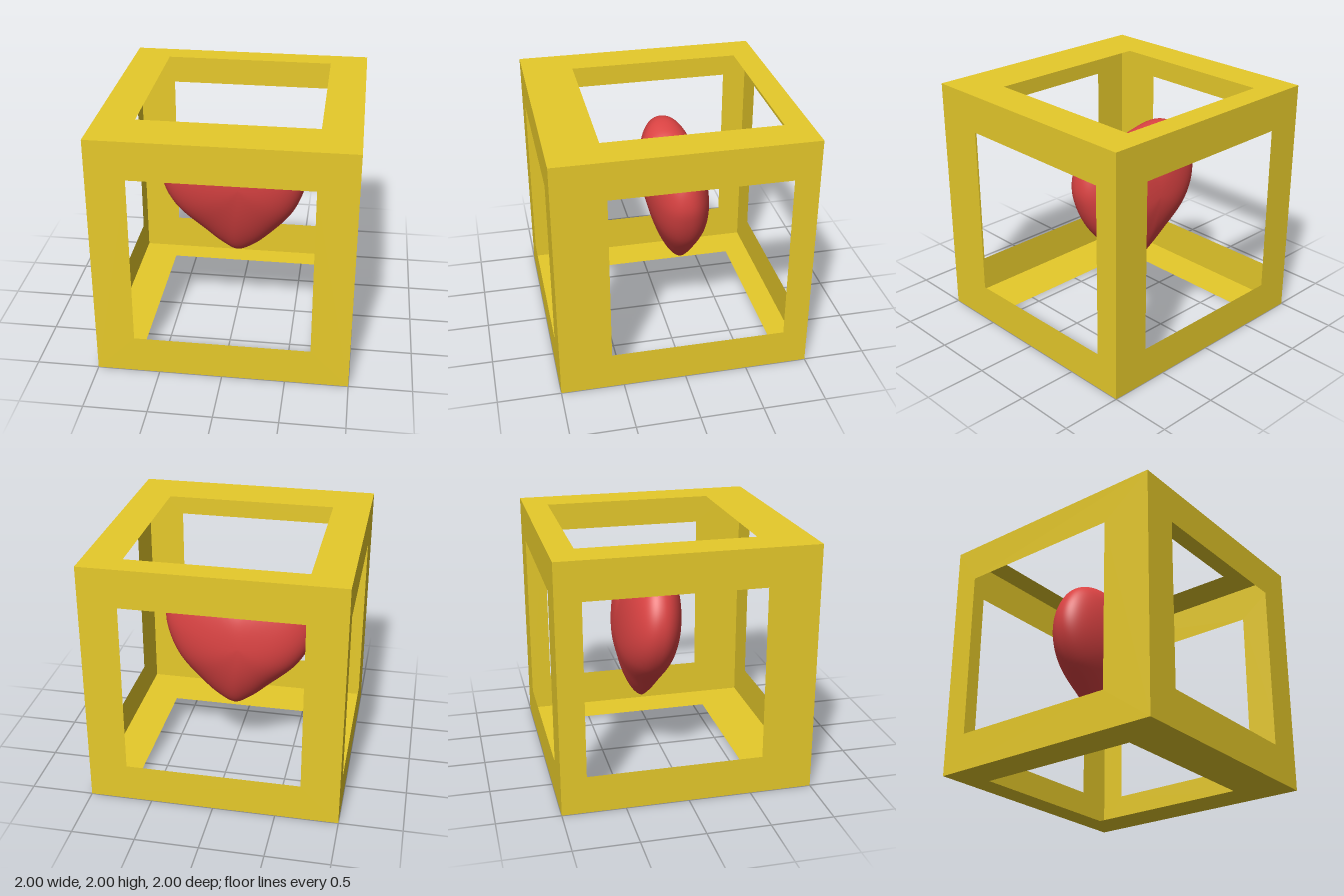
import * as THREE from 'three';
import { mergeVertices } from 'three/addons/utils/BufferGeometryUtils.js';

// Edges of the window openings along each axis
const X = [-0.695, 0.695], Y = [0.305, 1.695], Z = [-0.8, 0.59];

// Heart outline, counter-clockwise from the cleft
const OUTLINE = [
  [-0.06, 1.533], [-0.1, 1.55], [-0.18, 1.596], [-0.34, 1.64], [-0.44, 1.62], [-0.54, 1.555],
  [-0.63, 1.41], [-0.66, 1.25], [-0.63, 1.09], [-0.53, 0.915], [-0.31, 0.705], [-0.15, 0.567],
  [-0.02, 0.5], [0.125, 0.567], [0.29, 0.72], [0.45, 0.915], [0.54, 1.12], [0.565, 1.28],
  [0.51, 1.48], [0.4, 1.602], [0.32, 1.645], [0.24, 1.66], [0.1, 1.622], [0.03, 1.575], [-0.02, 1.543],
];

function rect(path, [u0, u1], [v0, v1]) {
  path.moveTo(u0, v0);
  path.lineTo(u1, v0);
  path.lineTo(u1, v1);
  path.lineTo(u0, v1);
  path.closePath();
  return path;
}

// Paper-thin square sheet with a window; u and v are the window's edges
function sheet(u, v) {
  const shape = rect(new THREE.Shape(), [-1, 1], [-1, 1]);
  shape.holes.push(rect(new THREE.Path(), u, v));
  return new THREE.ShapeGeometry(shape);
}

// Puffed heart: the outline shrinks and rounds off towards the front and back crowns
function heartGeometry() {
  const rows = 64, cols = 144, depth = 0.263;
  const curve = new THREE.CatmullRomCurve3(
    OUTLINE.map(([x, y]) => new THREE.Vector3(x, y, 0)), true, 'centripetal');
  const rim = curve.getSpacedPoints(cols);
  const positions = [], indices = [];
  for (let i = 0; i <= rows; i++) {
    const t = (i / rows) * Math.PI;
    const c = Math.cos(t), s = i === 0 || i === rows ? 0 : Math.sin(t);
    const cx = -0.03 + 0.05 * c, cy = 1.17 + 0.05 * c;
    for (let j = 0; j < cols; j++) {
      const dx = rim[j].x + 0.03, dy = rim[j].y - 1.17;
      const length = Math.hypot(dx, dy), up = dy / length;
      // Fuller at the sides, leaner towards the tip
      const power = 2.3 - (up < 0 ? 0.68 : 0.3) * up * up;
      const r = Math.pow(s, 2 / power);
      // Oval near the crown, true outline at the rim
      const oval = 0.58 / length;
      const x = cx + r * THREE.MathUtils.lerp(dx * oval, rim[j].x - cx, r);
      const y = cy + r * THREE.MathUtils.lerp(dy * oval, rim[j].y - cy, r);
      const bulge = Math.sign(c) * Math.pow(Math.abs(c), 2 / power) * depth;
      positions.push(x, y, -0.128 + 0.056 * (y - 1.17) + 0.016 * x + bulge);
      if (i < rows) {
        const k = (j + 1) % cols;
        const a = i * cols + j, b = a + cols, d = i * cols + k, e = d + cols;
        indices.push(a, b, e, a, e, d);
      }
    }
  }
  const geo = new THREE.BufferGeometry();
  geo.setAttribute('position', new THREE.Float32BufferAttribute(positions, 3));
  geo.setIndex(indices);
  const merged = mergeVertices(geo, 1e-5);
  merged.computeVertexNormals();
  return merged;
}

export function createModel() {
  const model = new THREE.Group();
  model.name = 'heartInCubeFrame';
  const gold = new THREE.MeshStandardMaterial({ color: 0xe6c92a, side: THREE.DoubleSide });
  const red = new THREE.MeshStandardMaterial({ color: 0xd94242 });

  const add = (parent, name, geo, material) => {
    const mesh = new THREE.Mesh(geo, material);
    mesh.name = name;
    parent.add(mesh);
  };

  // Hollow cube shell of six windowed sheets
  const frame = new THREE.Group();
  frame.name = 'cubeFrame';
  model.add(frame);
  const flip = ([a, b]) => [-b, -a];
  const mid = Y.map((y) => y - 1);
  const quarter = Math.PI / 2;
  add(frame, 'frontSheet', sheet(X, mid).translate(0, 1, 1), gold);
  add(frame, 'backSheet', sheet(flip(X), mid).rotateY(Math.PI).translate(0, 1, -1), gold);
  add(frame, 'leftSheet', sheet(flip(Z), mid).rotateY(quarter).translate(1, 1, 0), gold);
  add(frame, 'rightSheet', sheet(Z, mid).rotateY(-quarter).translate(-1, 1, 0), gold);
  add(frame, 'topSheet', sheet(X, flip(Z)).rotateX(-quarter).translate(0, 2, 0), gold);
  add(frame, 'bottomSheet', sheet(X, Z).rotateX(quarter), gold);

  // Heart floating inside
  add(model, 'heart', heartGeometry(), red);
  return model;
}
